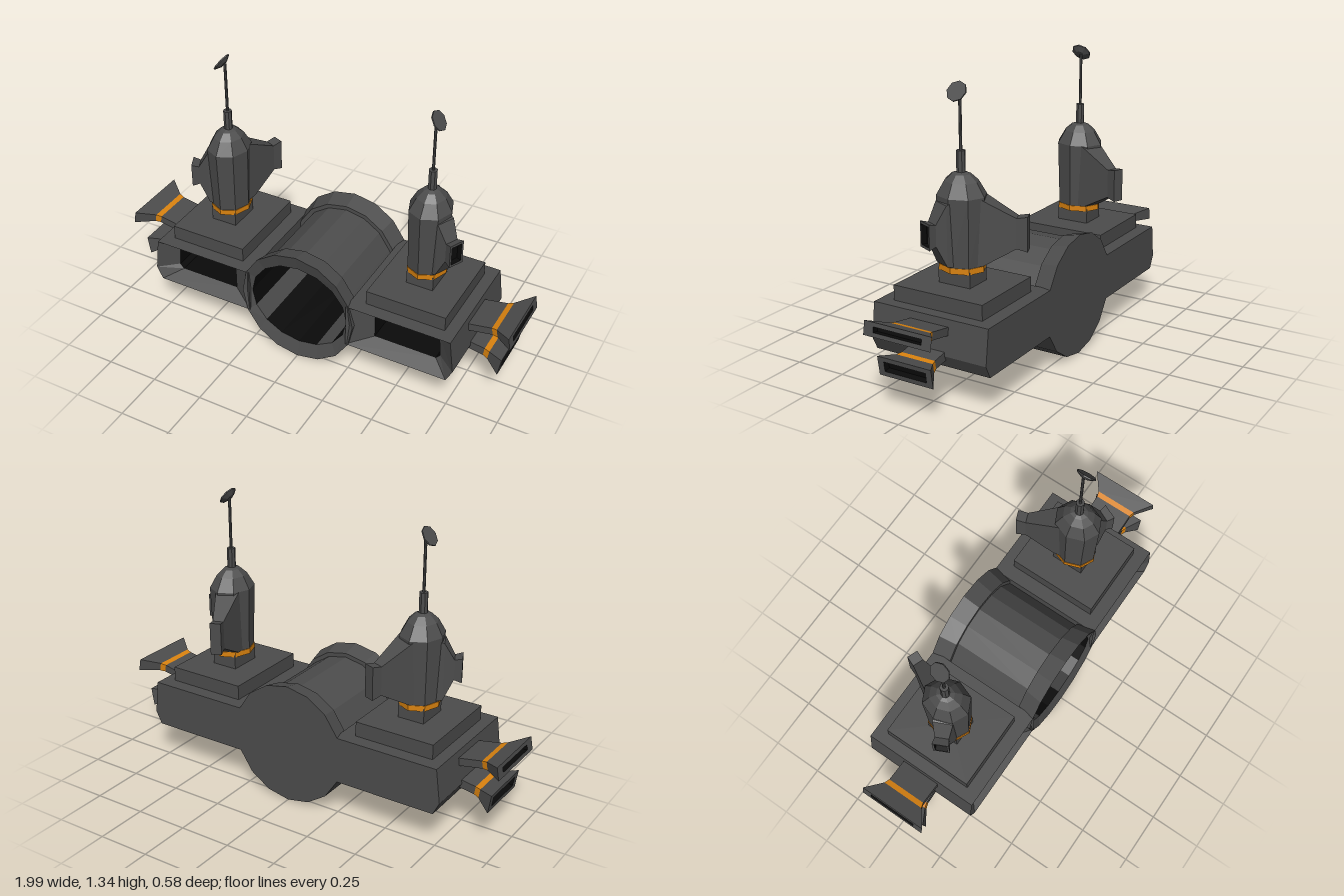
import * as THREE from 'three';

const V = (x, y, z) => new THREE.Vector3(x, y, z);
const material = (name, color) => {
  const m = new THREE.MeshStandardMaterial({ color });
  m.name = name;
  return m;
};

// Local frame: turns 2D outline points at a distance along an axis into a 3D ring
function frame(origin, axis, up) {
  const w = axis.clone().normalize();
  const u = up.clone().cross(w).normalize();
  const v = w.clone().cross(u);
  return (pts, d) => pts.map(([a, b]) =>
    origin.clone().addScaledVector(u, a).addScaledVector(v, b).addScaledVector(w, d));
}

const rect = (a, b) => [[-a, -b], [a, -b], [a, b], [-a, b]];
const oval = (n, a, b = a, cy = 0) => Array.from({ length: n }, (_, i) => {
  const t = i / n * Math.PI * 2;
  return [a * Math.cos(t), cy + b * Math.sin(t)];
});

// Flat-sided skin through rings, closed at both ends; one material per segment.
// A material entry may also be a function of the facet number. side = -1 mirrors x.
function loft(parent, name, rings, mats, side = 1) {
  if (side < 0) rings = rings.map(r => r.map(p => V(-p.x, p.y, p.z)).reverse());
  const n = rings[0].length, last = rings.length - 1;
  const at = (k, i) => {
    const m = Array.isArray(mats) ? mats[k] : mats;
    return typeof m === 'function' ? m(i) : m;
  };
  const pos = [], used = [], geo = new THREE.BufferGeometry();
  const tri = (m, ...ps) => {
    if (!used.includes(m)) used.push(m);
    geo.addGroup(pos.length / 3, 3, used.indexOf(m));
    ps.forEach(p => pos.push(p.x, p.y, p.z));
  };
  const centre = r => r.reduce((s, p) => s.add(p), V(0, 0, 0)).divideScalar(n);
  const c0 = centre(rings[0]), c1 = centre(rings[last]);
  for (let i = 0; i < n; i++) {
    const j = (i + 1) % n;
    for (let k = 0; k < last; k++) {
      const a = rings[k][i], b = rings[k][j], c = rings[k + 1][j], d = rings[k + 1][i];
      tri(at(k, i), a, b, c);
      tri(at(k, i), a, c, d);
    }
    tri(at(0, 0), c0, rings[0][j], rings[0][i]);
    tri(at(last - 1, 0), c1, rings[last][i], rings[last][j]);
  }
  geo.setAttribute('position', new THREE.Float32BufferAttribute(pos, 3));
  geo.computeVertexNormals();
  const mesh = new THREE.Mesh(geo, used.length > 1 ? used : used[0]);
  mesh.name = name;
  parent.add(mesh);
}

export function createModel() {
  const model = new THREE.Group();
  model.name = 'station';
  const grey = material('hull grey', 0x4c4c4c);
  const black = material('recess black', 0x0a0a0a);
  const orange = material('trim orange', 0xd9820f);
  const X = V(1, 0, 0), Y = V(0, 1, 0), Z = V(0, 0, 1);
  const front = frame(V(0, 0, 0), Z, Y);

  // Central drum: groove over the upper half, open bore at the front
  const drum = (rTop, z) => front(oval(16, 1).map(([a, b]) => {
    const r = b > 0.3 ? rTop : 0.29;
    return [a * r, 0.29 + b * r];
  }), z);
  const bore = oval(16, 0.248, 0.215, 0.29);
  const boreWall = i => (i % 4 === 1 ? grey : black);
  loft(model, 'drum', [
    drum(0.29, -0.29), drum(0.27, -0.2), drum(0.25, -0.2),
    drum(0.25, 0.2), drum(0.27, 0.2), drum(0.29, 0.29),
    front(bore, 0.27), front(bore, -0.18), front(oval(16, 0.2, 0.18, 0.29), -0.181),
  ], [grey, grey, grey, grey, grey, grey, boreWall, black]);

  // Rounded slot fixture inside the bore
  const slot = (a, b, z) => front(oval(16, b).map(([x, y], i) =>
    [x + (i < 4 || i > 12 ? 1 : -1) * (a - b), y + 0.293]), z);
  loft(model, 'boreSlot', [
    slot(0.163, 0.035, -0.19), slot(0.163, 0.035, -0.06),
    slot(0.148, 0.021, -0.06), slot(0.148, 0.021, -0.068),
  ], [orange, orange, grey]);

  for (const s of [1, -1]) {
    const g = new THREE.Group();
    g.name = s > 0 ? 'leftSide' : 'rightSide';
    model.add(g);

    // Wing block with a bevelled bay at the front
    const outer = [[0.255, 0.18], [0.755, 0.18], [0.785, 0.24], [0.765, 0.4], [0.255, 0.4]];
    const inner = [[0.37, 0.222], [0.675, 0.222], [0.695, 0.245], [0.685, 0.362], [0.37, 0.362]];
    loft(g, 'wing', [front(outer, -0.29), front(outer, 0.29), front(inner, 0.22), front(inner, 0.1)],
      [grey, grey, black], s);

    // Turret: platform, neck, trim band, faceted body
    const up = frame(V(0.517, 0, 0), Y, X);
    const box = (name, a, b, y0, y1) => loft(g, name, [up(rect(a, b), y0), up(rect(a, b), y1)], grey, s);
    box('platform', 0.225, 0.193, 0.395, 0.47);
    box('neck', 0.08, 0.065, 0.46, 0.54);
    const ring = (k, y) => up(oval(8, 0.115 * k, 0.1 * k), y);
    loft(g, 'turretBand', [ring(0.94, 0.53), ring(0.94, 0.556)], orange, s);
    loft(g, 'turretBody', [ring(0.91, 0.55), ring(1, 0.86), ring(0.68, 0.92), ring(0.38, 0.95), ring(0.2, 0.957)], grey, s);

    // Tapered tail and short sensor arm on the turret
    const span = (a, y0, y1) => [[-a, y0], [a, y0], [a, y1], [-a, y1]];
    const tail = frame(V(0.517, 0, 0), V(-0.36, 0, -0.93), Y);
    loft(g, 'turretTail', [
      tail(span(0.06, 0.557, 0.87), 0.06), tail(span(0.052, 0.56, 0.85), 0.1),
      tail(span(0.026, 0.637, 0.772), 0.24), tail(span(0.026, 0.625, 0.78), 0.287),
    ], grey, s);
    const arm = frame(V(0.517, 0, 0), V(0.9, 0, 0.42), Y);
    loft(g, 'sensorArm', [
      arm(span(0.05, 0.557, 0.85), 0.06), arm(span(0.045, 0.565, 0.835), 0.1),
      arm(span(0.032, 0.66, 0.755), 0.145), arm(span(0.038, 0.65, 0.765), 0.18),
      arm(span(0.028, 0.662, 0.753), 0.18), arm(span(0.028, 0.662, 0.753), 0.155),
    ], [grey, grey, grey, grey, black], s);

    // Antenna
    const rod = (name, r, y0, y1) => loft(g, name, [up(oval(8, r), y0), up(oval(8, r), y1)], grey, s);
    rod('antennaBase', 0.02, 0.94, 1.05);
    rod('antennaRod', 0.007, 1.04, 1.29);
    const dish = frame(V(0.531, 1.3, 0.006), V(0.81, 0.58, 0), Z);
    loft(g, 'antennaDish', [
      dish(oval(8, 0.02), -0.016), dish(oval(8, 0.047), -0.003), dish(oval(8, 0.047), 0.003),
    ], grey, s);

    // Flared nozzles with a trim band and a dark slot
    const nozzle = (name, y, tilt, len, band, root, mouth, gap) => {
      const f = frame(V(0.765, y, 0), V(Math.cos(tilt), Math.sin(tilt), 0), Y);
      const rr = rect(...root), m = rect(...mouth), h = rect(...gap);
      const mid = rect(root[0] + 0.008, root[1] + 0.002);
      loft(g, name, [f(rr, -0.03), f(rr, band), f(mid, band + 0.026), f(m, len), f(h, len), f(h, len - 0.03)],
        [grey, orange, grey, grey, black], s);
    };
    nozzle('upperNozzle', 0.348, 0.18, 0.228, 0.12, [0.097, 0.018], [0.168, 0.031], [0.12, 0.012]);
    nozzle('lowerNozzle', 0.24, -0.16, 0.182, 0.085, [0.085, 0.02], [0.135, 0.045], [0.105, 0.023]);
  }
  return model;
}
